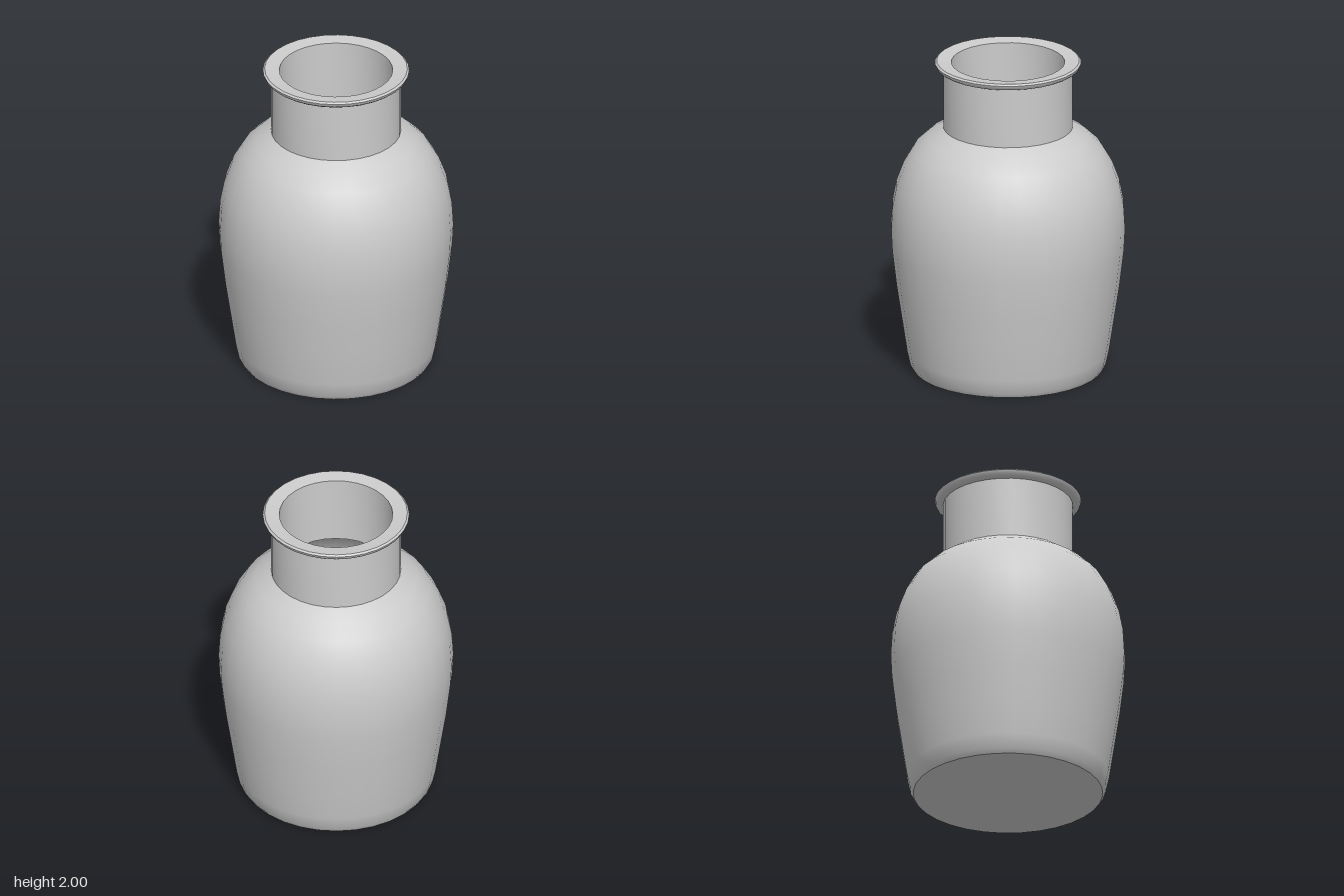
import * as THREE from 'three';
import { toCreasedNormals } from 'three/addons/utils/BufferGeometryUtils.js';

const SIDES = 32;

export function createModel() {
  const jar = new THREE.Group();
  jar.name = 'jar';
  const material = new THREE.MeshStandardMaterial({ color: 0xcccccc });

  // Turns a profile of [radius, height] pairs into a named mesh
  const turn = (name, profile) => {
    const points = profile.map(([r, y]) => new THREE.Vector2(r, y));
    const geometry = toCreasedNormals(new THREE.LatheGeometry(points, SIDES), 0.6);
    const mesh = new THREE.Mesh(geometry, material);
    mesh.name = name;
    jar.add(mesh);
  };

  // Flat base, tapered belly and rounded shoulder
  turn('body', [
    [0, 0], [0.585, 0], [0.605, 0.03], [0.625, 0.12], [0.655, 0.32],
    [0.69, 0.55], [0.717, 0.78], [0.724, 0.92], [0.715, 1.07], [0.69, 1.2],
    [0.645, 1.32], [0.58, 1.43], [0.495, 1.51], [0.4, 1.57],
  ]);

  // Straight neck
  turn('neck', [[0.4, 1.57], [0.4, 1.955]]);

  // Flared lip around the mouth
  turn('rim', [
    [0.4, 1.955], [0.43, 1.958], [0.445, 1.97], [0.452, 1.99], [0.44, 2], [0.35, 1.99],
  ]);

  // Hollow inside, from the mouth down to the floor
  turn('interior', [
    [0.35, 1.99], [0.35, 1.55], [0.45, 1.48], [0.535, 1.4], [0.6, 1.29],
    [0.645, 1.18], [0.667, 1.06], [0.674, 0.92], [0.667, 0.78], [0.64, 0.55],
    [0.605, 0.32], [0.575, 0.12], [0.54, 0.05], [0, 0.05],
  ]);

  return jar;
}
